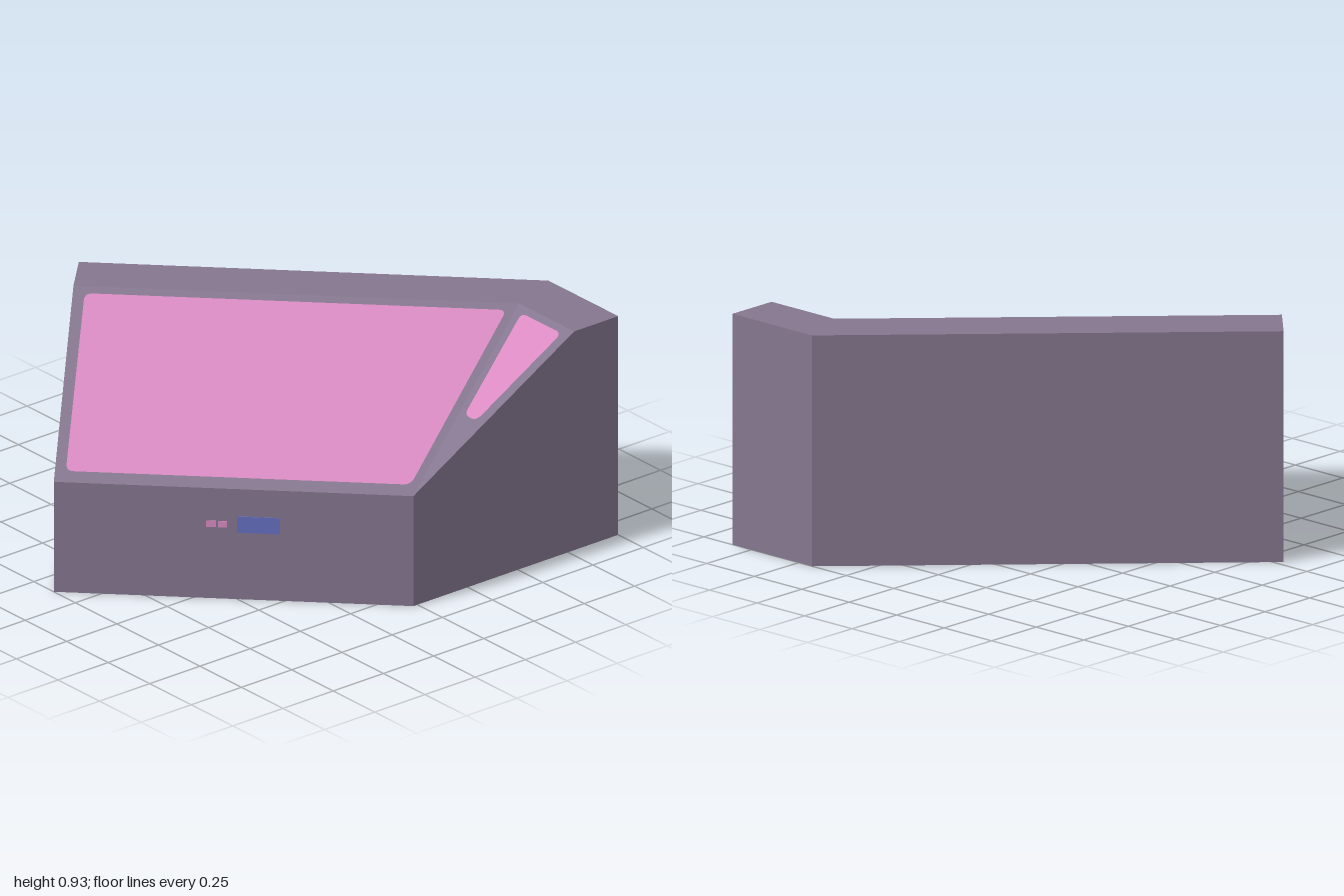
import * as THREE from 'three';

const LOW = 0.465, TOP = 0.925;
const mat = (name, color, side = THREE.FrontSide) => {
  const m = new THREE.MeshStandardMaterial({ color, side });
  m.name = name;
  return m;
};

// Flat-faced solid from convex polygons, corners counter-clockwise from outside
function polyMesh(name, faces, material) {
  const pos = [];
  for (const f of faces)
    for (let i = 1; i < f.length - 1; i++) pos.push(...f[0], ...f[i], ...f[i + 1]);
  const g = new THREE.BufferGeometry();
  g.setAttribute('position', new THREE.Float32BufferAttribute(pos, 3));
  g.computeVertexNormals();
  const mesh = new THREE.Mesh(g, material);
  mesh.name = name;
  return mesh;
}

// Rounded-corner pane given in plan (x, z), lifted onto a sloping plane
function pane(name, plan, height, r, material) {
  const pts = plan.map(([x, z]) => new THREE.Vector2(x, -z));
  const shape = new THREE.Shape();
  pts.forEach((p, i) => {
    const prev = pts[(i + pts.length - 1) % pts.length], next = pts[(i + 1) % pts.length];
    const a = prev.clone().sub(p).setLength(r).add(p);
    const b = next.clone().sub(p).setLength(r).add(p);
    if (i) shape.lineTo(a.x, a.y); else shape.moveTo(a.x, a.y);
    shape.quadraticCurveTo(p.x, p.y, b.x, b.y);
  });
  shape.closePath();
  const g = new THREE.ShapeGeometry(shape, 6);
  const p = g.attributes.position;
  for (let i = 0; i < p.count; i++) {
    const x = p.getX(i), z = -p.getY(i);
    p.setXYZ(i, x, height(x, z) + 0.004, z);
  }
  g.computeVertexNormals();
  const mesh = new THREE.Mesh(g, material);
  mesh.name = name;
  return mesh;
}

export function createModel() {
  const model = new THREE.Group();
  model.name = 'cornerCabinet';
  const body = mat('mauve grey', 0x85778f);
  const pink = mat('pink glass', 0xd98ac2, THREE.DoubleSide);
  const blue = mat('blue', 0x646fc0);

  // Plan corners: A, B, C along the back, D, E along the diagonal front
  const A = [-0.85, 0.28], B = [0.43, -1], C = [0.85, -1], D = [0.85, 0.02], E = [-0.13, 1];
  const F = [0.52, -0.78], G = [0.85, -0.78], H = [-0.695, 0.435];
  const at = (p, y) => [p[0], y, p[1]];
  const lo = (p) => at(p, 0), mid = (p) => at(p, LOW), hi = (p) => at(p, TOP);

  model.add(polyMesh('cabinetBody', [
    [lo(E), lo(D), mid(D), mid(E)],
    [lo(D), lo(C), hi(C), hi(G), mid(D)],
    [lo(C), lo(B), hi(B), hi(C)],
    [lo(B), lo(A), hi(A), hi(B)],
    [lo(A), lo(E), mid(E), hi(H), hi(A)],
    [lo(A), lo(B), lo(C), lo(D), lo(E)],
    [hi(A), hi(H), hi(F), hi(B)],
    [hi(B), hi(F), hi(G), hi(C)],
    [hi(H), mid(E), mid(D), hi(F)],
    [hi(F), mid(D), hi(G)],
  ], body));

  // Sloping display panes
  const mainSlope = (x, z) => LOW + (TOP - LOW) * (0.87 - x - z) / 1.13;
  const sideSlope = (x, z) => LOW + (TOP - LOW) * (0.02 - z) / 0.8;
  model.add(pane('mainPane',
    [[-0.64, 0.425], [-0.13, 0.94], [0.81, 0], [0.51, -0.725]], mainSlope, 0.03, pink));
  model.add(pane('sidePane',
    [[0.57, -0.75], [0.74, -0.325], [0.81, -0.325], [0.81, -0.75]], sideSlope, 0.03, pink));

  // Small coloured plates on the diagonal front: x from, x to, y from, y to
  const plates = [
    ['bluePlate', 0.37, 0.487, 0.282, 0.35, blue],
    ['pinkPlate', 0.285, 0.312, 0.302, 0.328, pink],
    ['pinkPlate', 0.318, 0.342, 0.302, 0.328, pink],
  ];
  for (const [name, x0, x1, y0, y1, m] of plates) {
    const plate = new THREE.Mesh(
      new THREE.BoxGeometry((x1 - x0) * Math.SQRT2, y1 - y0, 0.006), m);
    const x = (x0 + x1) / 2;
    plate.position.set(x, (y0 + y1) / 2, 0.87 - x);
    plate.rotation.y = Math.PI / 4;
    plate.name = name;
    model.add(plate);
  }
  return model;
}
